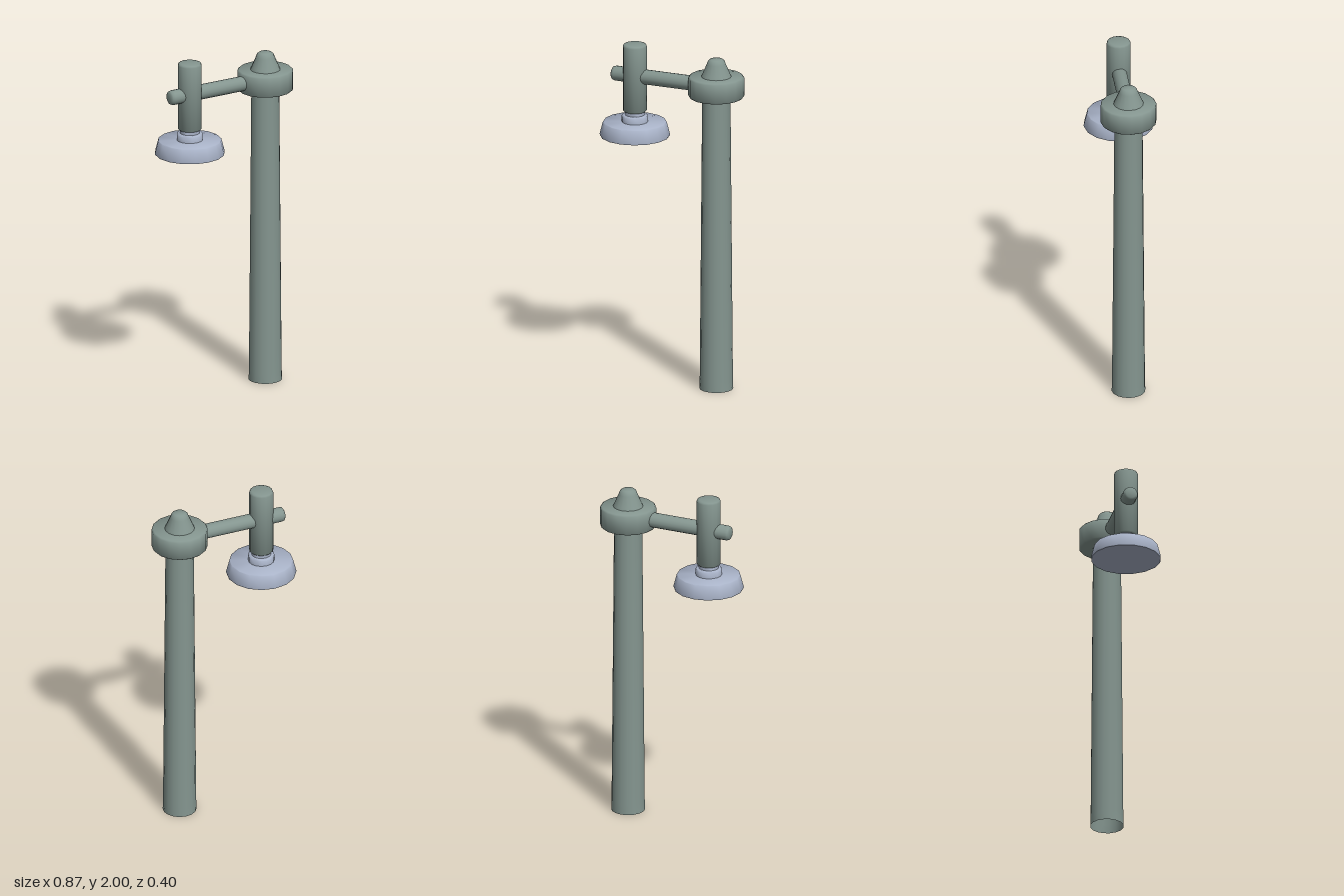
import * as THREE from 'three';
import { toCreasedNormals } from 'three/addons/utils/BufferGeometryUtils.js';

export function createModel() {
  const model = new THREE.Group();
  model.name = 'streetLamp';

  const postPaint = new THREE.MeshStandardMaterial({ color: 0x84958f, side: THREE.DoubleSide });
  postPaint.name = 'grey green metal';
  const lampPaint = new THREE.MeshStandardMaterial({ color: 0xa9b3c8, side: THREE.DoubleSide });
  lampPaint.name = 'pale blue metal';

  const postX = 0.274, lampX = -0.236, armY = 1.81;

  // Turned part from [radius, height] pairs, listed bottom to top
  function turned(name, profile, material, x, sides = 16) {
    const points = profile.map(([r, y]) => new THREE.Vector2(r, y));
    const mesh = new THREE.Mesh(toCreasedNormals(new THREE.LatheGeometry(points, sides), 0.9), material);
    mesh.name = name;
    mesh.position.x = x;
    model.add(mesh);
    return mesh;
  }

  // Tapered post, open at the foot
  turned('post', [[0.097, 0], [0.095, 0.06], [0.081, 1.76]], postPaint, postX);

  // Wide collar with softened rims
  turned('collar', [
    [0, 1.748], [0.153, 1.748], [0.161, 1.756], [0.161, 1.862], [0.153, 1.87], [0, 1.87],
  ], postPaint, postX);

  // Conical finial with a rounded tip
  turned('finial', [
    [0.087, 1.868], [0.08, 1.885], [0.054, 1.945], [0.048, 1.962], [0.036, 1.972], [0, 1.975],
  ], postPaint, postX);

  // Horizontal arm, running from the collar past the hanger
  const arm = turned('arm', [
    [0.043, 0], [0.043, 0.605], [0.039, 0.619], [0.029, 0.625], [0, 0.625],
  ], postPaint, 0.25);
  arm.position.y = armY;
  arm.rotation.z = Math.PI / 2;

  // Vertical hanger tube
  turned('hanger', [
    [0, 1.598], [0.062, 1.598], [0.069, 1.605], [0.069, 1.986], [0.065, 1.996], [0.055, 2], [0, 2],
  ], postPaint, lampX);

  // Stepped neck below the hanger
  turned('neck', [
    [0.075, 1.53], [0.075, 1.572], [0.07, 1.578], [0.057, 1.578], [0.057, 1.6],
  ], lampPaint, lampX);

  // Flat-bottomed shade
  turned('shade', [
    [0, 1.453], [0.2, 1.453], [0.202, 1.46], [0.183, 1.533], [0.18, 1.536], [0, 1.536],
  ], lampPaint, lampX);

  return model;
}
